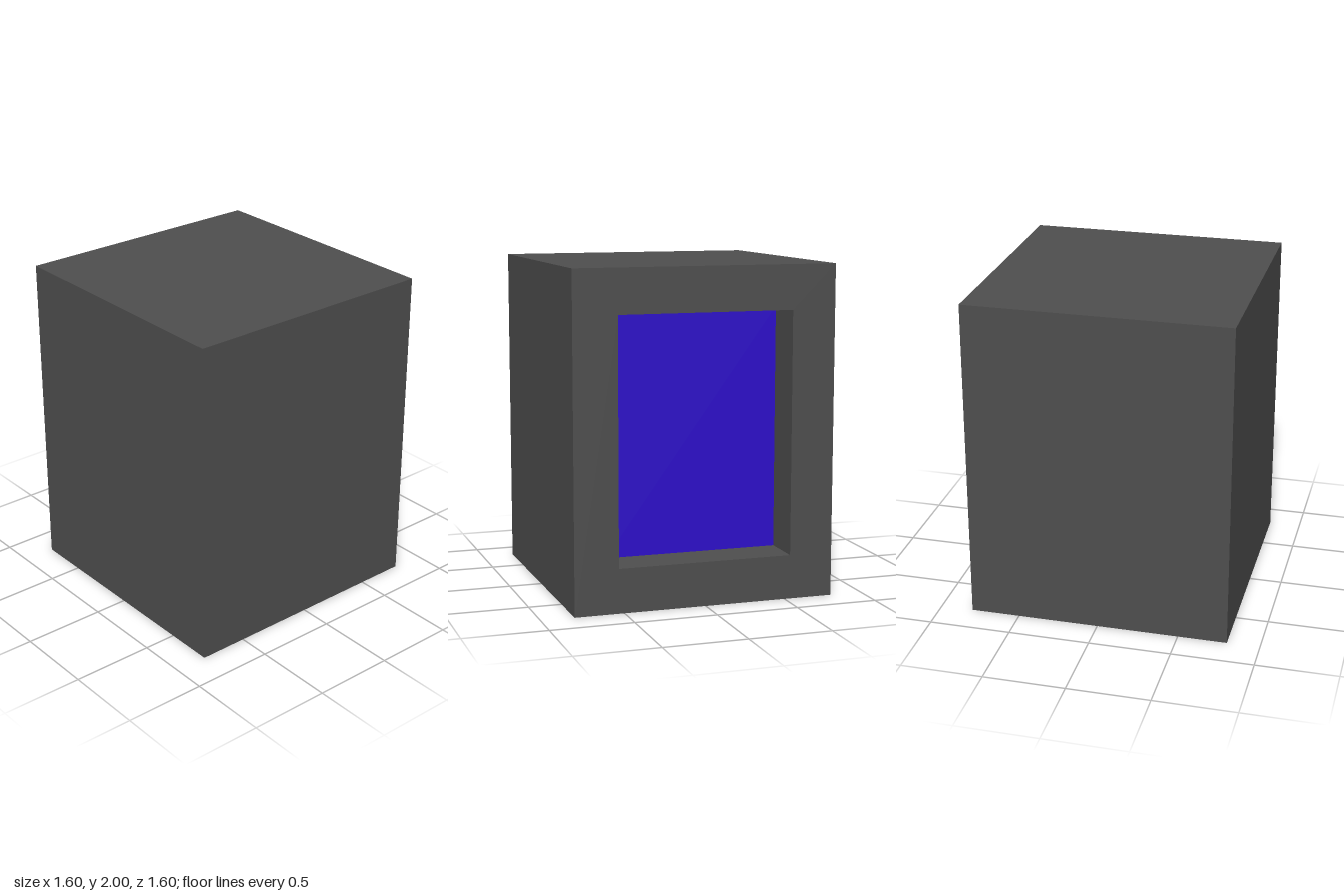
import * as THREE from 'three';

const W = 1.6, H = 2, D = 1.6;               // cabinet size
const RH = 1.467, RD = 1.067, DEPTH = 0.267; // recess height, width (z) and depth (x)

// Keeps only a range of a box's faces (order: +x -x +y -y +z -z); inward turns them inside out
function boxFaces(w, h, d, first, last, inward = false) {
  const geo = new THREE.BoxGeometry(w, h, d);
  const index = Array.from(geo.index.array).slice(first * 6, last * 6);
  geo.setIndex(inward ? index.reverse() : index);
  geo.clearGroups();
  geo.computeVertexNormals();
  return geo;
}

function rectangle(target, w, h) {
  target.moveTo(-w / 2, -h / 2);
  target.lineTo(w / 2, -h / 2);
  target.lineTo(w / 2, h / 2);
  target.lineTo(-w / 2, h / 2);
  target.closePath();
  return target;
}

export function createModel() {
  const group = new THREE.Group();
  group.name = 'cabinet';

  const casing = new THREE.MeshStandardMaterial({ color: 0x4e4e4e });
  casing.name = 'dark grey casing';
  const blue = new THREE.MeshStandardMaterial({ color: 0x2c0cca });
  blue.name = 'blue panel';

  const add = (name, geometry, material, x) => {
    const mesh = new THREE.Mesh(geometry, material);
    mesh.name = name;
    mesh.position.set(x, H / 2, 0);
    group.add(mesh);
  };

  // Outer shell, open on the +x side
  add('shell', boxFaces(W, H, D, 1, 6), casing, 0);

  // Flat rim around the opening
  const rim = rectangle(new THREE.Shape(), D, H);
  rim.holes.push(rectangle(new THREE.Path(), RD, RH));
  add('rim', new THREE.ShapeGeometry(rim).rotateY(Math.PI / 2), casing, W / 2);

  // Four inward-facing walls of the recess
  add('recessWalls', boxFaces(DEPTH, RH, RD, 2, 6, true), casing, W / 2 - DEPTH / 2);

  // Coloured panel at the back of the recess
  add('panel', new THREE.PlaneGeometry(RD, RH).rotateY(Math.PI / 2), blue, W / 2 - DEPTH);

  return group;
}
